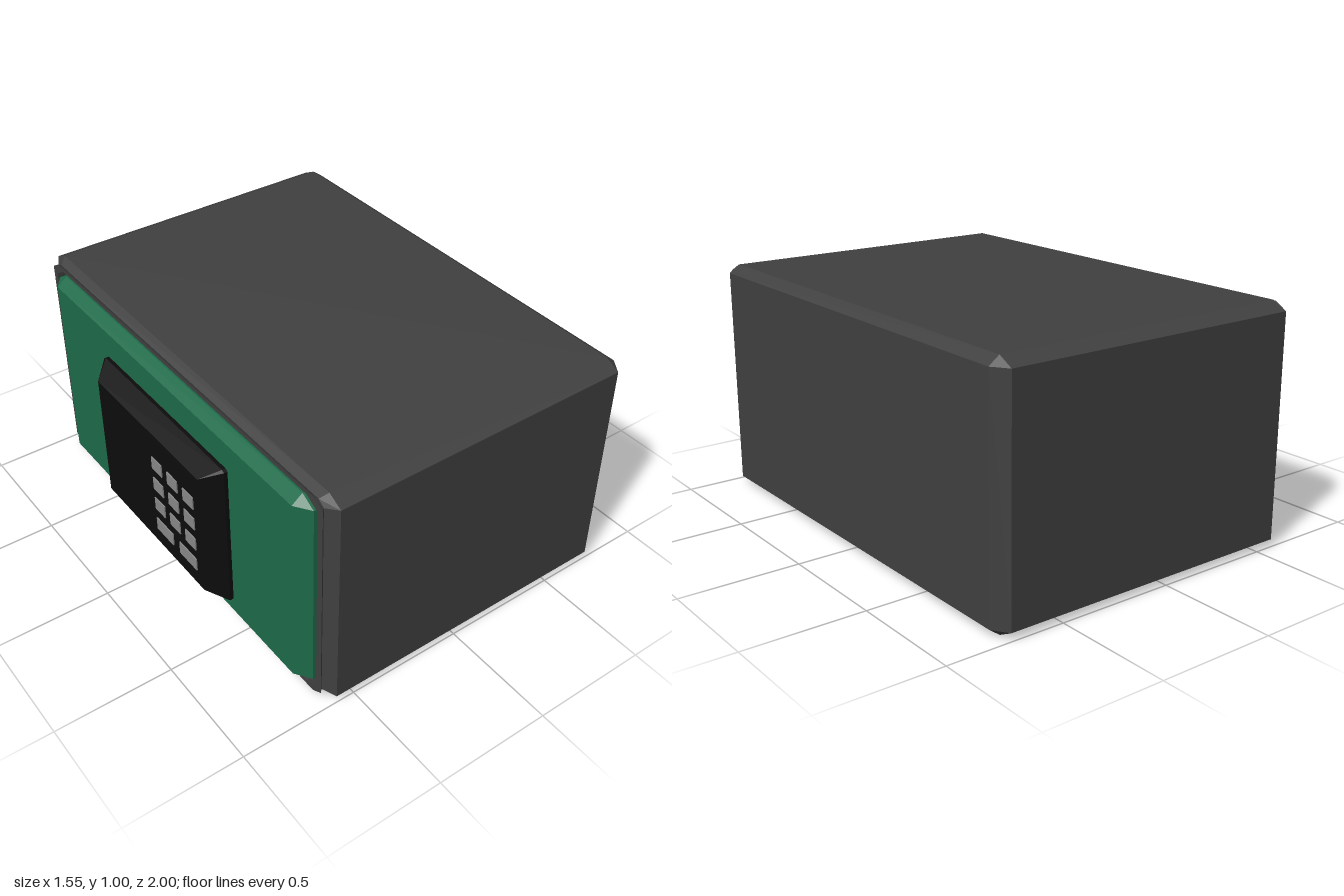
import * as THREE from 'three';

const mat = (color) => new THREE.MeshStandardMaterial({ color, flatShading: true, side: THREE.DoubleSide });

// Corner-cut rectangle in the y-z plane at x; half sizes hy, hz; corner cuts cy, cz
function ring([x, hy, hz, cy = 0, cz = 0], y0, z0) {
  return [
    [hy, -hz + cz], [hy, hz - cz], [hy - cy, hz], [-hy + cy, hz],
    [-hy, hz - cz], [-hy, -hz + cz], [-hy + cy, -hz], [hy - cy, -hz],
  ].map(([y, z]) => new THREE.Vector3(x, y0 + y, z0 + z));
}

// Closed solid through a series of rings along x, with flat end caps
function loft(name, material, sections, y0, z0) {
  const rings = sections.map((s) => ring(s, y0, z0));
  const pos = [];
  const tri = (a, b, c) => {
    const area = b.clone().sub(a).cross(c.clone().sub(a)).length();
    if (area > 1e-9) for (const p of [a, b, c]) pos.push(p.x, p.y, p.z);
  };
  for (let i = 0; i < rings.length - 1; i++) {
    for (let j = 0; j < 8; j++) {
      const k = (j + 1) % 8;
      tri(rings[i][j], rings[i][k], rings[i + 1][k]);
      tri(rings[i][j], rings[i + 1][k], rings[i + 1][j]);
    }
  }
  const first = rings[0], last = rings[rings.length - 1];
  for (let j = 1; j < 7; j++) {
    tri(first[0], first[j + 1], first[j]);
    tri(last[0], last[j], last[j + 1]);
  }
  const geo = new THREE.BufferGeometry();
  geo.setAttribute('position', new THREE.Float32BufferAttribute(pos, 3));
  geo.computeVertexNormals();
  const mesh = new THREE.Mesh(geo, material);
  mesh.name = name;
  return mesh;
}

export function createModel() {
  const model = new THREE.Group();
  model.name = 'safe';

  // Bevelled cabinet with a shallow doorway and a thin flared lip
  model.add(loft('cabinet', mat(0x404040), [
    [-0.58, 0.468, 0.93, 0.035, 0.06],
    [-0.625, 0.468, 0.93, 0.035, 0.06],
    [-0.625, 0.485, 0.96, 0.03, 0.05],
    [-0.61, 0.474, 0.945, 0.02, 0.03],
    [-0.58, 0.5, 1, 0.033, 0.065],
    [0.73, 0.5, 1, 0.033, 0.065],
    [0.775, 0.467, 0.935],
  ], 0.5, 0));

  // Bevelled door
  model.add(loft('door', mat(0x1d6a49), [
    [-0.67, 0.423, 0.845],
    [-0.625, 0.458, 0.91, 0.035, 0.065],
    [-0.575, 0.458, 0.91, 0.035, 0.065],
  ], 0.5, 0));

  // Keypad housing, standing just off the door
  model.add(loft('keypadHousing', mat(0x0c0c0c), [
    [-0.775, 0.282, 0.368],
    [-0.703, 0.332, 0.438, 0.008, 0.012],
    [-0.688, 0.332, 0.438, 0.008, 0.012],
  ], 0.502, 0.037));

  // Keys: three rows of three, and two wide keys below
  const keys = new THREE.Group();
  keys.name = 'keys';
  const keyMat = mat(0x888888);
  const addKey = (y, z, width) => {
    const key = new THREE.Mesh(new THREE.BoxGeometry(0.012, 0.058, width), keyMat);
    key.name = 'key';
    key.position.set(-0.774, y, z);
    keys.add(key);
  };
  for (let row = 0; row < 3; row++) {
    for (let col = 0; col < 3; col++) addKey(0.64 - row * 0.104, 0.107 + col * 0.112, 0.072);
  }
  for (const z of [0.132, 0.303]) addKey(0.324, z, 0.122);
  model.add(keys);

  return model;
}
